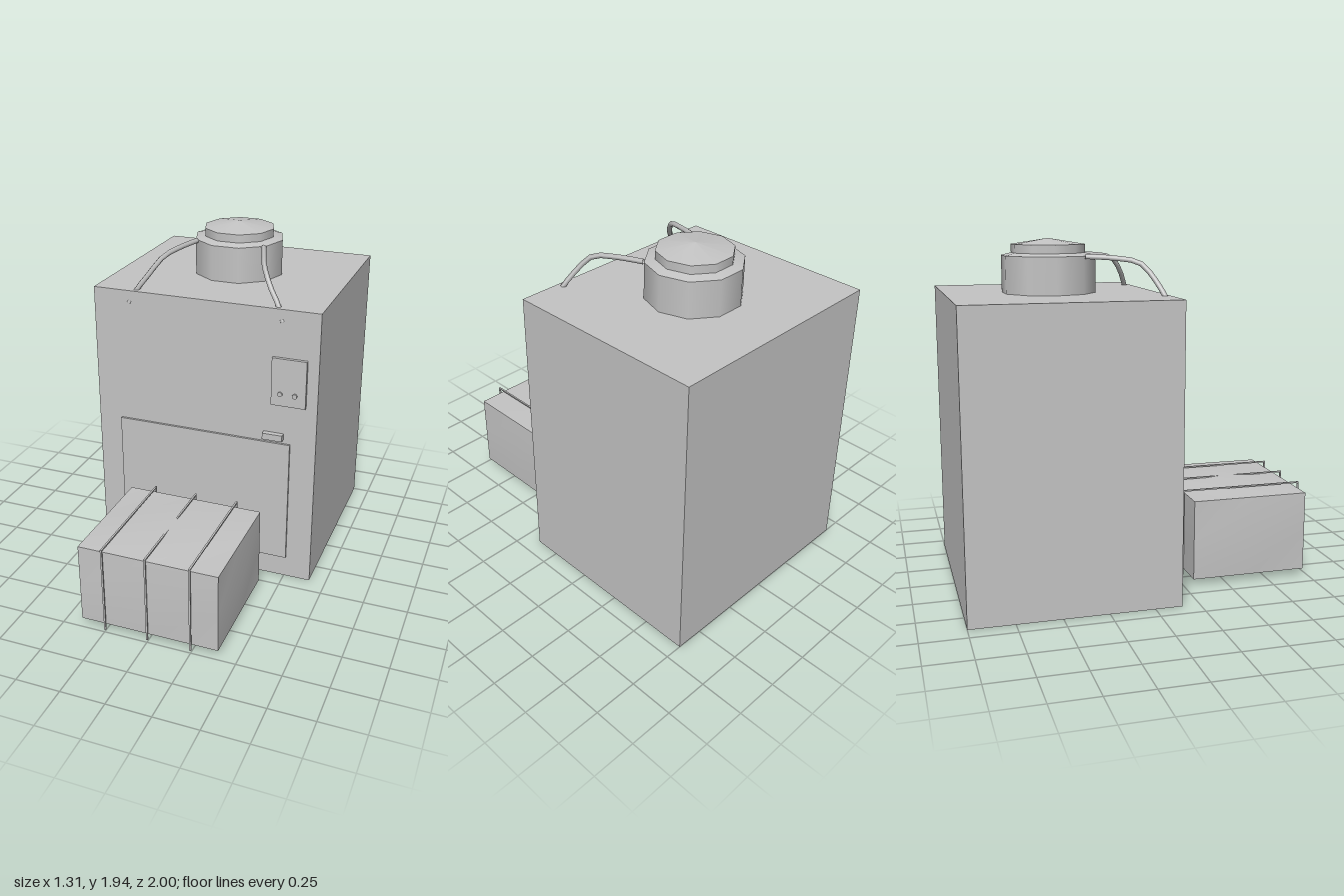
import * as THREE from 'three';

export function createModel() {
  const model = new THREE.Group();
  const grey = new THREE.MeshStandardMaterial({ color: 0xc4c4c4, side: THREE.DoubleSide });
  grey.name = 'light grey';

  const add = (name, geometry, x = 0, y = 0, z = 0, parent = model) => {
    const mesh = new THREE.Mesh(geometry, grey);
    mesh.name = name;
    mesh.position.set(x, y, z);
    parent.add(mesh);
    return mesh;
  };
  // Box given by its lower and upper corners
  const block = (name, [x0, y0, z0], [x1, y1, z1], parent = model) =>
    add(name, new THREE.BoxGeometry(x1 - x0, y1 - y0, z1 - z0),
      (x0 + x1) / 2, (y0 + y1) / 2, (z0 + z1) / 2, parent);

  // Cabinet shell, open underneath (the downward face is dropped)
  const shell = new THREE.BoxGeometry(1.31, 1.645, 1.15);
  const faces = Array.from(shell.index.array);
  faces.splice(18, 6);
  shell.setIndex(faces);
  shell.clearGroups();
  add('cabinet', shell, 0, 0.8225, -0.425);

  // Front door, latch and control panel
  block('door', [-0.515, 0.13, 0.14], [0.51, 0.865, 0.163]);
  block('latch', [0.355, 0.888, 0.15], [0.47, 0.925, 0.182]);
  block('controlPanel', [0.397, 1.1, 0.15], [0.592, 1.375, 0.17]);
  for (const x of [0.449, 0.532]) {
    const button = new THREE.CylinderGeometry(0.014, 0.014, 0.02, 10);
    button.rotateX(Math.PI / 2);
    add('button', button, x, 1.17, 0.17);
  }

  // Ten-sided drum, stacked from rings: [name, bottom radius, top radius, y0, y1]
  const rings = [
    ['drum', 0.26, 0.26, 1.64, 1.848],
    ['drumShoulder', 0.26, 0.205, 1.848, 1.862],
    ['drumCap', 0.205, 0.205, 1.862, 1.908],
    ['drumLid', 0.205, 0, 1.908, 1.94],
  ];
  for (const [name, low, high, y0, y1] of rings) {
    add(name, new THREE.CylinderGeometry(high, low, y1 - y0, 10, 1, false, Math.PI / 2),
      0, (y0 + y1) / 2, -0.43);
  }

  // Two bent pipes from the drum down through the cabinet top
  const path = [
    [0.2, 1.845, -0.265], [0.245, 1.838, -0.13], [0.295, 1.812, 0.01],
    [0.35, 1.73, 0.075], [0.41, 1.645, 0.115], [0.445, 1.572, 0.143],
  ];
  for (const side of [-1, 1]) {
    const curve = new THREE.CatmullRomCurve3(path.map(([x, y, z]) => new THREE.Vector3(side * x, y, z)));
    add(side > 0 ? 'leftPipe' : 'rightPipe', new THREE.TubeGeometry(curve, 10, 0.015, 5, false));
  }

  // Bale: a box whose face centres bulge outward
  const bale = new THREE.Group();
  bale.name = 'bale';
  model.add(bale);
  const half = [0.395, 0.229, 0.336];
  const bulge = [0.015, 0.03, 0.013];
  const body = new THREE.BoxGeometry(half[0] * 2, half[1] * 2, half[2] * 2, 2, 2, 2);
  const pos = body.attributes.position;
  for (let i = 0; i < pos.count; i++) {
    const p = [0, 1, 2].map((a) => pos.getComponent(i, a) / half[a]);
    for (let a = 0; a < 3; a++) {
      const u = p[(a + 1) % 3], v = p[(a + 2) % 3];
      pos.setComponent(i, a, p[a] * (half[a] + bulge[a] * (1 - u * u) * (1 - v * v)));
    }
  }
  body.computeVertexNormals();
  add('baleBody', body, 0, 0.267, 0.64, bale);

  // Straps over the top of the bale with legs hanging front and back
  for (const x of [-0.247, 0, 0.247]) {
    const l = x - 0.005, r = x + 0.005;
    block('strapTop', [l, 0.514, 0.287], [r, 0.522, 1], bale);
    block('strapFront', [l, 0.015, 0.992], [r, 0.522, 1], bale);
    block('strapBack', [l, 0.015, 0.284], [r, 0.522, 0.292], bale);
  }

  return model;
}
